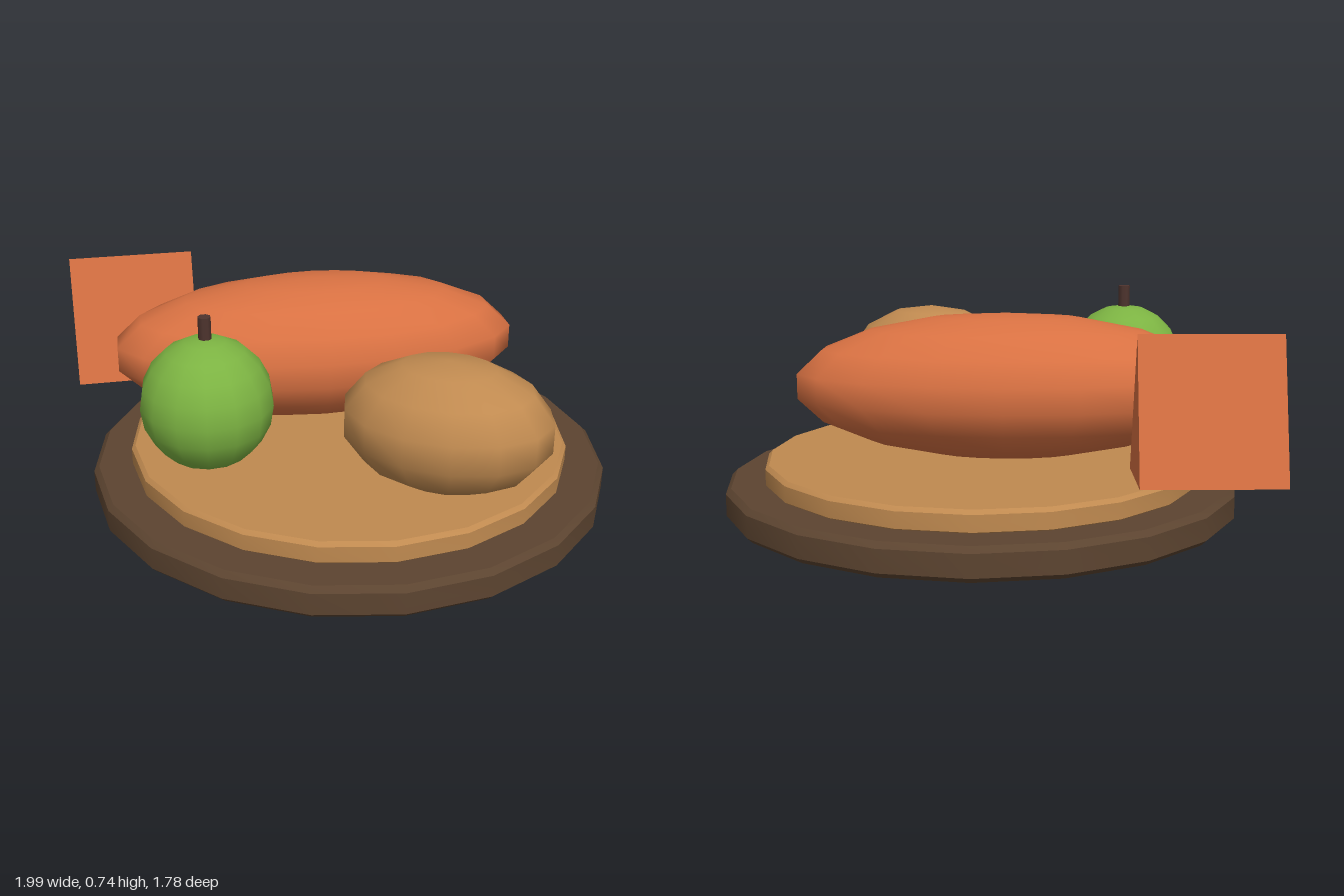
import * as THREE from 'three';
import { toCreasedNormals } from 'three/addons/utils/BufferGeometryUtils.js';

const material = (name, color) => {
  const m = new THREE.MeshStandardMaterial({ color });
  m.name = name;
  return m;
};

export function createModel() {
  const group = new THREE.Group();
  const darkWood = material('darkWood', 0x5c4430);
  const tan = material('tan', 0xc08a50);
  const orange = material('orange', 0xd87142);
  const green = material('green', 0x7cb342);
  const stemBrown = material('stemBrown', 0x4e342e);

  const add = (name, geometry, mat, x, y, z, turn = 0) => {
    const mesh = new THREE.Mesh(geometry, mat);
    mesh.name = name;
    mesh.position.set(x, y, z);
    mesh.rotation.y = turn;
    group.add(mesh);
    return mesh;
  };

  // Twenty-sided disc with a small bevel at both rims
  const disc = (r, h, b) => {
    const profile = [[0, 0], [r - b, 0], [r, b], [r, h - b], [r - b, h], [0, h]]
      .map(([x, y]) => new THREE.Vector2(x, y));
    return toCreasedNormals(new THREE.LatheGeometry(profile, 20), 0.5);
  };

  // Smooth stretched sphere
  const ellipsoid = (rx, ry, rz, sides, rows) =>
    new THREE.SphereGeometry(1, sides, rows).scale(rx, ry, rz);

  // Serving board
  add('boardBase', disc(0.89, 0.11, 0.018), darkWood, 0.105, 0, 0);
  add('boardTop', disc(0.757, 0.08, 0.013), tan, 0.105, 0.1, 0);

  // Food
  add('loaf', ellipsoid(0.315, 0.243, 0.715, 18, 9), orange, -0.03, 0.448, -0.135, Math.PI / 2 + 0.3);
  add('roll', ellipsoid(0.342, 0.213, 0.256, 14, 7), tan, 0.46, 0.427, 0.4, -0.2);
  add('apple', ellipsoid(0.215, 0.218, 0.215, 14, 10), green, -0.3, 0.452, 0.405);
  add('appleStem', new THREE.CylinderGeometry(0.021, 0.021, 0.1, 8), stemBrown, -0.3, 0.69, 0.4);

  // Upright cheese wedge: triangular prism with its ridge on top
  const triangle = new THREE.Shape([
    new THREE.Vector2(-0.133, 0),
    new THREE.Vector2(0.133, 0),
    new THREE.Vector2(0, 0.445),
  ]);
  const wedge = new THREE.ExtrudeGeometry(triangle, { depth: 0.445, bevelEnabled: false });
  wedge.translate(0, 0, -0.2225);
  add('cheeseWedge', wedge, orange, -0.745, 0.23, -0.315, Math.PI / 2 + 0.345);

  return group;
}
